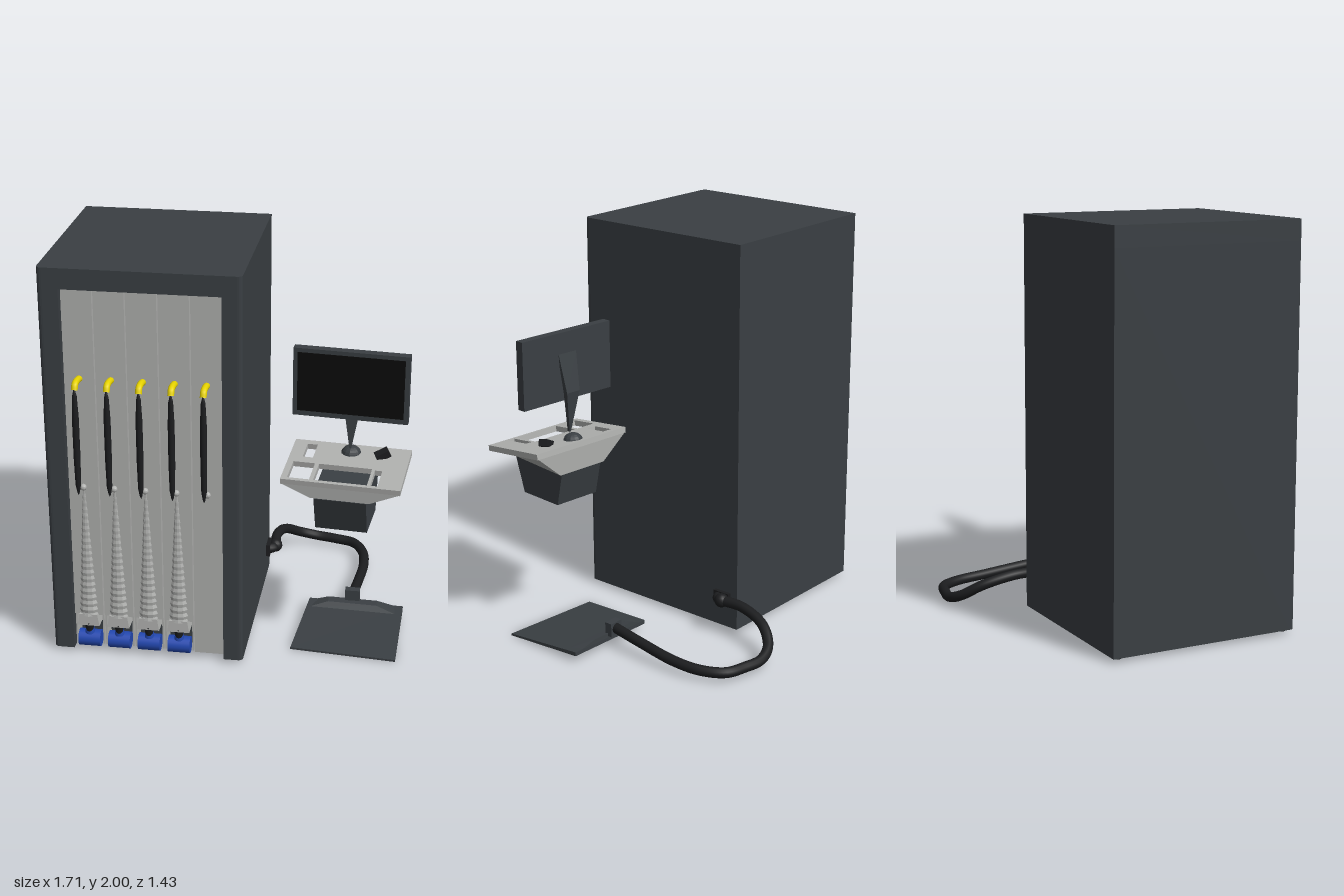
import * as THREE from 'three';

const mat = (color, extra = {}) => new THREE.MeshStandardMaterial({ color, ...extra });
const dark = mat(0x3a3f43, { flatShading: true });
const black = mat(0x1c1d1f);
const screenBlack = mat(0x0c0c0c);
const grey = mat(0xb0b1af, { flatShading: true });
const blue = mat(0x2348b0);
const yellow = mat(0xe8d400);
const darkOpen = mat(0x3a3f43, { flatShading: true, side: THREE.DoubleSide });

function add(parent, name, geometry, material, x = 0, y = 0, z = 0) {
  const mesh = new THREE.Mesh(geometry, material);
  mesh.name = name;
  mesh.position.set(x, y, z);
  parent.add(mesh);
  return mesh;
}

// Box given by its limits
function block(parent, name, material, x0, x1, y0, y1, z0, z1) {
  return add(parent, name, new THREE.BoxGeometry(x1 - x0, y1 - y0, z1 - z0), material,
    (x0 + x1) / 2, (y0 + y1) / 2, (z0 + z1) / 2);
}

// Four-cornered section: front left, front right, back right, back left
const quad = (x0, x1, zf, zb, yf, yb = yf) => [[x0, yf, zf], [x1, yf, zf], [x1, yb, zb], [x0, yb, zb]];

// Skin between four-cornered sections, listed from bottom to top
function loft(rings, bottomCap = true, topCap = true) {
  const p = [];
  const face = (a, b, c, d) => [a, b, c, a, c, d].forEach((v) => p.push(...v));
  for (let i = 0; i + 1 < rings.length; i++) {
    for (let j = 0; j < 4; j++) {
      const k = (j + 1) % 4;
      face(rings[i][j], rings[i][k], rings[i + 1][k], rings[i + 1][j]);
    }
  }
  if (topCap) face(...rings[rings.length - 1]);
  if (bottomCap) face(...[...rings[0]].reverse());
  const g = new THREE.BufferGeometry();
  g.setAttribute('position', new THREE.Float32BufferAttribute(p, 3));
  g.computeVertexNormals();
  return g;
}

const tube = (points, radius, steps, sides = 12) => new THREE.TubeGeometry(
  new THREE.CatmullRomCurve3(points.map((p) => new THREE.Vector3(...p))), steps, radius, sides);
const lathe = (points, sides) => new THREE.LatheGeometry(points.map((p) => new THREE.Vector2(...p)), sides);

// Floor plan of the cabinet with rounded front corners, optionally notched in front
function cabinetSlab(notched, height) {
  const s = new THREE.Shape();
  s.moveTo(-0.86, 0.36);
  s.lineTo(-0.86, -0.605);
  s.quadraticCurveTo(-0.86, -0.63, -0.835, -0.63);
  if (notched) [[-0.76, -0.63], [-0.76, -0.5], [-0.01, -0.5], [-0.01, -0.63]].forEach((p) => s.lineTo(...p));
  s.lineTo(0.06, -0.63);
  s.quadraticCurveTo(0.085, -0.63, 0.085, -0.605);
  s.lineTo(0.085, 0.36);
  const g = new THREE.ExtrudeGeometry(s, { depth: height, bevelEnabled: false, curveSegments: 5 });
  return g.rotateX(-Math.PI / 2);
}

function buildCabinet(root) {
  const cabinet = new THREE.Group();
  cabinet.name = 'cabinet';
  root.add(cabinet);
  add(cabinet, 'cabinetBody', cabinetSlab(true, 1.88), dark, 0, 0.02, 0);
  add(cabinet, 'cabinetTop', cabinetSlab(false, 0.1), dark, 0, 1.9, 0);
  for (const x of [-0.82, 0.045]) {
    for (const z of [-0.32, 0.58]) {
      add(cabinet, 'foot', new THREE.CylinderGeometry(0.02, 0.02, 0.012, 12), black, x, 0.015, z);
    }
  }

  // Pleated sleeve: width grows downwards, every other ring is pulled in
  const pleats = [];
  for (let i = 0; i <= 40; i++) {
    const t = i / 40;
    pleats.push([(0.008 + 0.042 * t) * (i % 2 ? 0.86 : 1), 0.88 - 0.68 * t]);
  }
  pleats.reverse();
  const sleeve = lathe(pleats, 10).scale(1, 1, 0.6);
  const handle = lathe([[0, 0.905], [0.006, 0.92], [0.013, 0.96], [0.016, 1.1],
    [0.016, 1.3], [0.011, 1.41], [0.004, 1.44], [0, 1.44]], 10);

  for (let i = 0; i < 5; i++) {
    const x = -0.685 + i * 0.15;
    const lane = new THREE.Group();
    lane.name = 'lane' + (i + 1);
    cabinet.add(lane);
    const last = i === 4;
    block(lane, 'frontPanel', grey, x - 0.072, x + 0.072, last ? 0.03 : 0.2, 1.9, 0.49, 0.6);

    // Hook, handle and clip
    add(lane, 'hook', tube([[x, 1.455, 0.59], [x, 1.465, 0.65], [x, 1.46, 0.685], [x, 1.437, 0.697]], 0.016, 16), yellow);
    add(lane, 'handle', handle, black, x, 0, 0.7);
    add(lane, 'clip', new THREE.SphereGeometry(0.016, 10, 8), grey, x, 0.902, 0.608);
    if (last) continue;

    // Sleeve, clamp and drum in the open bay
    add(lane, 'sleeve', sleeve, grey, x, 0, 0.597);
    add(lane, 'clamp', loft([quad(x - 0.055, x + 0.055, 0.625, 0.52, 0.15), quad(x - 0.045, x + 0.045, 0.622, 0.55, 0.21)]), grey);
    add(lane, 'plug', new THREE.CylinderGeometry(0.026, 0.018, 0.05, 10), black, x, 0.135, 0.6);
    add(lane, 'drum', new THREE.CylinderGeometry(0.042, 0.042, 0.11, 20).rotateZ(Math.PI / 2), blue, x, 0.062, 0.587);
    add(lane, 'drumNeck', new THREE.CylinderGeometry(0.02, 0.025, 0.04, 12), blue, x, 0.115, 0.595);
    for (const side of [-1, 1]) {
      block(lane, 'bayWall', grey, x + side * 0.068 - 0.004, x + side * 0.068 + 0.004, 0.03, 0.2, 0.5, 0.59);
    }
  }
}

function buildWorkstation(root) {
  const station = new THREE.Group();
  station.name = 'workstation';
  station.position.set(0.553, 0, 0.405);
  station.rotation.y = -0.09;
  root.add(station);

  // Sloped tray plate with openings
  const plate = new THREE.Shape([[-0.285, -0.185], [0.285, -0.185], [0.285, 0.185], [-0.285, 0.185]]
    .map((p) => new THREE.Vector2(...p)));
  for (const [x0, x1, z0, z1] of [[-0.13, 0.125, 0.02, 0.165], [-0.255, -0.15, 0.02, 0.165],
    [0.14, 0.175, 0.03, 0.165], [-0.22, -0.17, -0.15, -0.03]]) {
    plate.holes.push(new THREE.Path([[x0, z0], [x0, z1], [x1, z1], [x1, z0]].map((p) => new THREE.Vector2(...p))));
  }
  const plateGeo = new THREE.ExtrudeGeometry(plate, { depth: 0.028, bevelEnabled: false }).rotateX(Math.PI / 2);
  add(station, 'trayTop', plateGeo, grey, 0, 1.013, 0).rotation.x = 0.12;

  // Tapered skirt and the box below it
  add(station, 'traySkirt', loft([quad(-0.14, 0.14, 0.18, -0.18, 0.905, 0.89),
    quad(-0.28, 0.28, 0.183, -0.186, 0.966, 1.01)], false, false), grey);
  add(station, 'lowerBox', loft([quad(-0.125, 0.125, 0.115, -0.135, 0.72),
    quad(-0.125, 0.125, 0.175, -0.175, 0.9)], true, false), darkOpen);
  add(station, 'keyboardDeck', loft([quad(-0.125, 0.125, 0.165, -0.1, 0.92, 0.94),
    quad(-0.125, 0.125, 0.165, -0.1, 0.935, 0.955)]), dark);

  // Small handset on the tray
  const handset = block(station, 'handset', black, 0.12, 0.19, 1.02, 1.055, -0.12, -0.075);
  handset.rotation.set(0.1, 0.4, 0.4);

  // Monitor and its tapering arm
  const monitor = new THREE.Group();
  monitor.name = 'monitor';
  monitor.position.set(0, 0, -0.068);
  station.add(monitor);
  block(monitor, 'monitorCase', dark, -0.276, 0.276, 1.225, 1.565, -0.022, 0.022);
  block(monitor, 'screen', screenBlack, -0.255, 0.255, 1.25, 1.545, 0.02, 0.024);
  add(monitor, 'monitorArm', loft([quad(-0.004, 0.004, -0.015, -0.03, 1.06),
    quad(-0.04, 0.04, -0.035, -0.06, 1.27), quad(-0.055, 0.055, -0.015, -0.023, 1.46)]), dark);
  add(monitor, 'armBase', new THREE.SphereGeometry(0.05, 12, 6, 0, Math.PI * 2, 0, Math.PI / 2)
    .scale(1, 0.9, 1), dark, 0, 1.015, -0.05);
}

function buildFloorNozzle(root) {
  // Connector on the cabinet wall
  block(root, 'wallConnector', black, 0.08, 0.105, 0.145, 0.21, -0.32, -0.225);
  add(root, 'wallElbow', new THREE.SphereGeometry(0.036, 14, 10), black, 0.128, 0.18, -0.295);
  add(root, 'wallPipe', tube([[0.09, 0.18, -0.25], [0.115, 0.18, -0.26], [0.128, 0.18, -0.3]], 0.026, 8), black);

  // Hose looping over the floor
  add(root, 'hose', tube([[0.128, 0.18, -0.29], [0.12, 0.178, -0.42], [0.15, 0.14, -0.57], [0.22, 0.08, -0.66],
    [0.31, 0.05, -0.688], [0.42, 0.046, -0.67], [0.52, 0.046, -0.635], [0.58, 0.048, -0.53],
    [0.598, 0.055, -0.38], [0.588, 0.08, -0.15], [0.572, 0.1, 0.04]], 0.026, 90), black);

  // Flat nozzle with a raised back
  const nozzle = new THREE.Group();
  nozzle.name = 'floorNozzle';
  root.add(nozzle);
  add(nozzle, 'nozzlePlate', loft([
    [[0.3, 0, 0.455], [0.825, 0, 0.5], [0.835, 0.035, 0.045], [0.35, 0.035, 0.025]],
    [[0.3, 0.01, 0.455], [0.825, 0.01, 0.5], [0.835, 0.055, 0.045], [0.35, 0.055, 0.025]]]), dark);
  add(nozzle, 'nozzleHood', loft([
    [[0.34, 0.042, 0.105], [0.82, 0.042, 0.125], [0.83, 0.045, 0.045], [0.36, 0.045, 0.025]],
    [[0.45, 0.07, 0.075], [0.7, 0.07, 0.085], [0.7, 0.075, 0.042], [0.45, 0.075, 0.032]]]), dark);
  block(nozzle, 'hoseSocket', dark, 0.535, 0.61, 0.06, 0.13, 0.015, 0.055);
}

export function createModel() {
  const root = new THREE.Group();
  root.name = 'dispenserStation';
  buildCabinet(root);
  buildWorkstation(root);
  buildFloorNozzle(root);
  return root;
}
